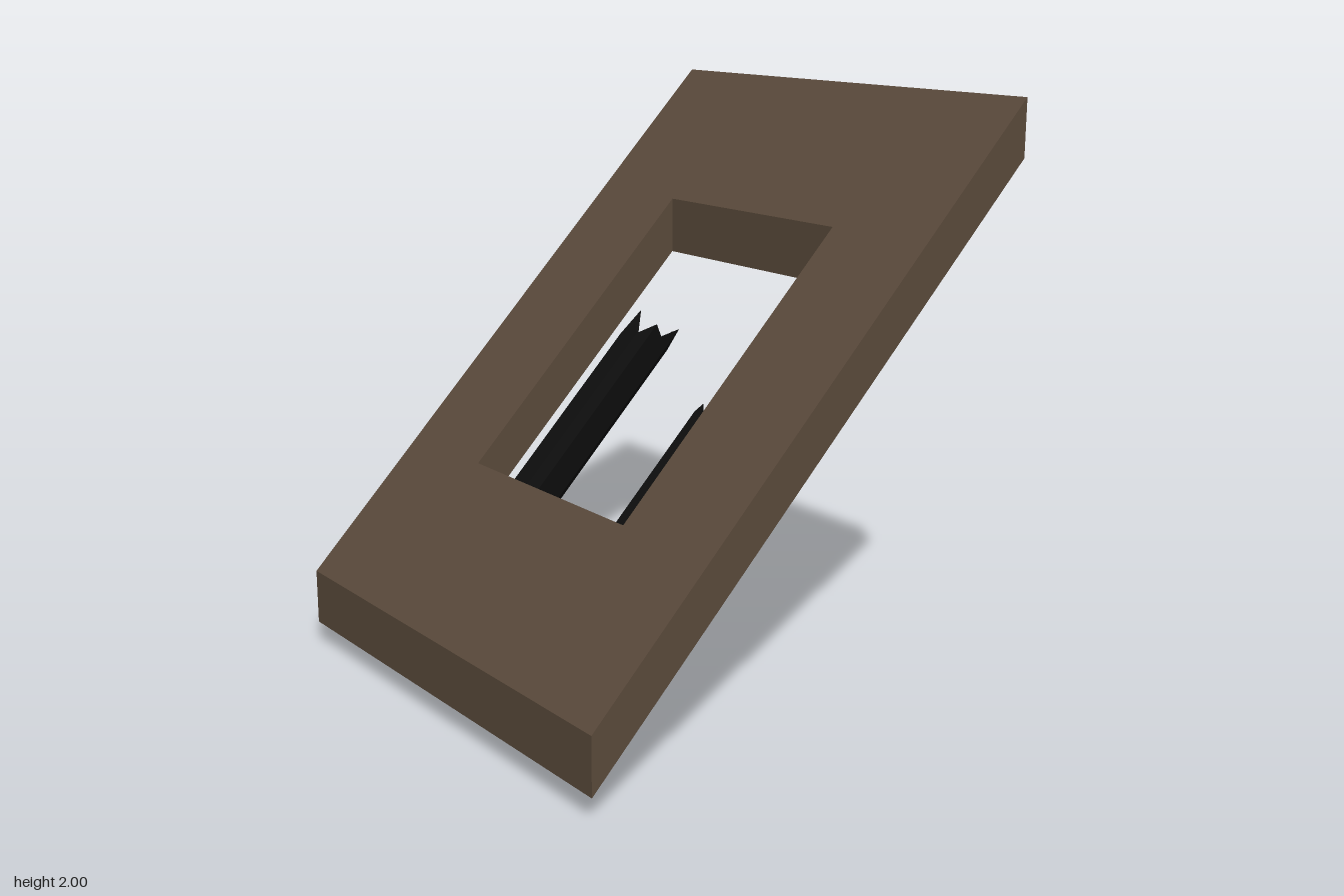
import * as THREE from 'three';

const brown = new THREE.MeshStandardMaterial({ color: 0x5a4a3b });
brown.name = 'weathered brown';
const black = new THREE.MeshStandardMaterial({ color: 0x0d0d0d, flatShading: true });
black.name = 'charred black';

// Chamfered cross-section, as fractions of half width and half depth
const SECTION = [
  [1, 0], [1, 0.6], [0.6, 1], [0, 1], [-0.6, 1], [-1, 0.6],
  [-1, 0], [-1, -0.6], [-0.6, -1], [0, -1], [0.6, -1], [1, -0.6],
];

// Beam along +y with a flat foot and a splintered tip; ends holds the length of each corner
function beamGeometry(ends, halfWidth, halfDepth, taper) {
  const n = SECTION.length;
  const pos = [];
  const index = [];
  SECTION.forEach(([u, v]) => pos.push(u * halfWidth, 0, v * halfDepth));
  SECTION.forEach(([u, v], i) => pos.push(u * halfWidth * taper, ends[i], v * halfDepth));
  pos.push(0, 0, 0, 0, Math.min(...ends) - 0.02, 0);
  for (let i = 0; i < n; i++) {
    const j = (i + 1) % n;
    index.push(i, n + i, j, j, n + i, n + j); // side
    index.push(2 * n, i, j); // foot
    index.push(2 * n + 1, n + j, n + i); // broken tip
  }
  const g = new THREE.BufferGeometry();
  g.setAttribute('position', new THREE.Float32BufferAttribute(pos, 3));
  g.setIndex(index);
  const flat = g.toNonIndexed();
  flat.computeVertexNormals();
  return flat;
}

// Square slab with a square opening, sheared to a 45 degree slope with upright edges
function slabGeometry(half, hole, thickness, bottomY) {
  const square = (Type, s) => {
    const p = new Type();
    p.moveTo(-s, -s).lineTo(s, -s).lineTo(s, s).lineTo(-s, s).closePath();
    return p;
  };
  const shape = square(THREE.Shape, half);
  shape.holes.push(square(THREE.Path, hole));
  const g = new THREE.ExtrudeGeometry(shape, { depth: thickness, bevelEnabled: false });
  g.rotateX(-Math.PI / 2);
  g.applyMatrix4(new THREE.Matrix4().set(
    1, 0, 0, 0,
    0, 1, -1, bottomY,
    0, 0, 1, 0,
    0, 0, 0, 1,
  ));
  g.computeVertexNormals();
  return g;
}

export function createModel() {
  const model = new THREE.Group();
  model.name = 'brokenRoof';

  const slab = new THREE.Mesh(slabGeometry(0.86, 0.43, 0.195, 0.945), brown);
  slab.name = 'roofSlab';
  model.add(slab);

  // Broken rafters lying against the underside
  const beams = [
    { name: 'rightRafter', x: -0.348, taper: 0.95,
      ends: [1.47, 1.49, 1.42, 1.45, 1.4, 1.53, 1.46, 1.48, 1.46, 1.54, 1.46, 1.54] },
    { name: 'leftRafter', x: 0.258, taper: 0.84,
      ends: [1.2, 1.28, 1.23, 1.19, 1.2, 1.25, 1.2, 1.22, 1.22, 1.16, 1.28, 1.16] },
  ];
  for (const { name, x, taper, ends } of beams) {
    const beam = new THREE.Mesh(beamGeometry(ends, 0.07, 0.078, taper), black);
    beam.name = name;
    beam.position.set(x, 0.06, 0.775);
    beam.rotation.x = -Math.PI / 4;
    model.add(beam);
  }
  return model;
}
